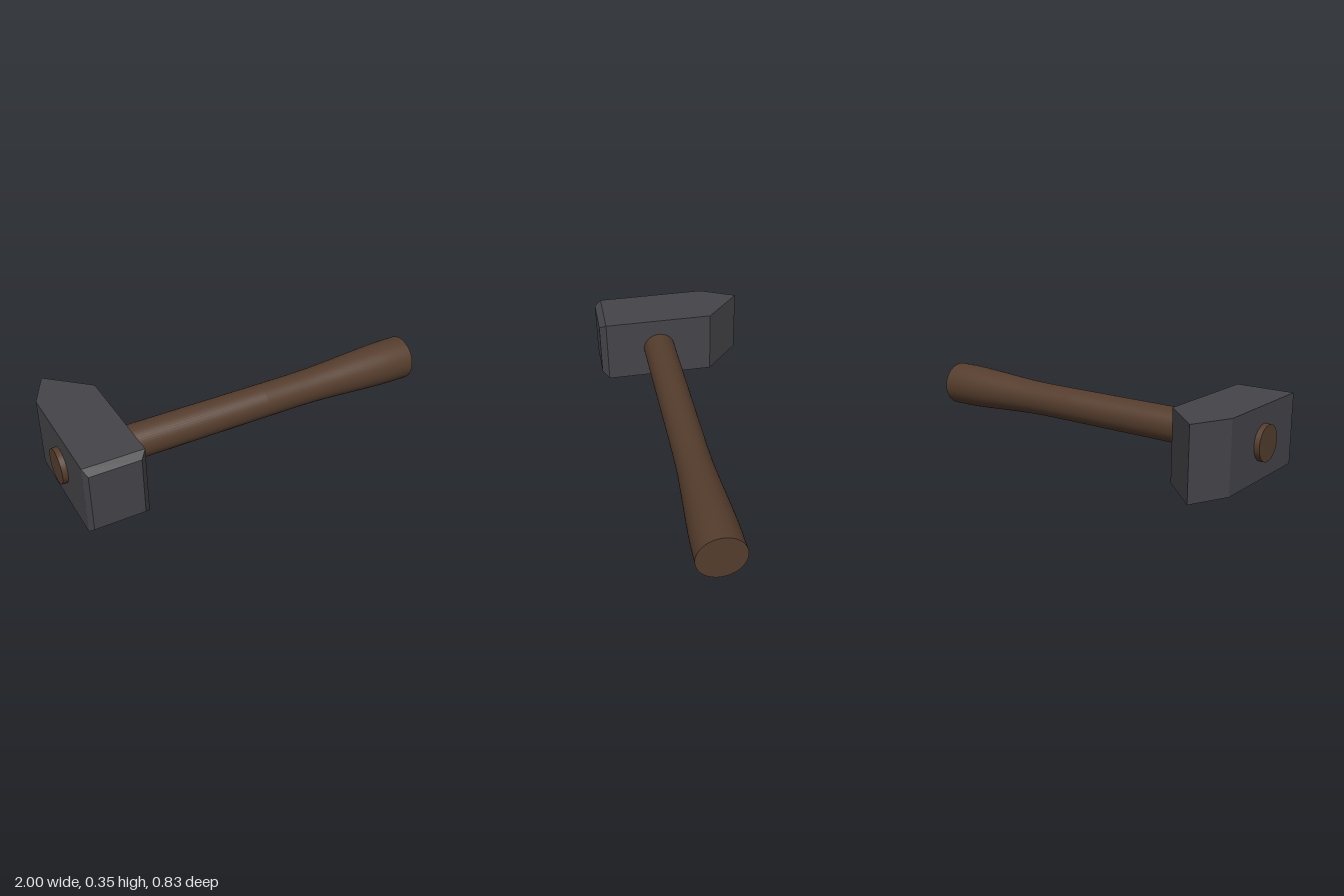
import * as THREE from 'three';
import { ConvexGeometry } from 'three/addons/geometries/ConvexGeometry.js';

export function createModel() {
  const model = new THREE.Group();
  const wood = new THREE.MeshStandardMaterial({ color: 0x553d2d });
  wood.name = 'dark wood';
  const steel = new THREE.MeshStandardMaterial({ color: 0x454449 });
  steel.name = 'dark steel';

  // Head: chamfered striking face in front, block body, off-centre wedge behind
  const corners = (x0, x1, y0, y1, z) =>
    [[x0, y0], [x1, y0], [x1, y1], [x0, y1]].map(([x, y]) => new THREE.Vector3(x, y, z));
  const headGeometry = new ConvexGeometry([
    ...corners(-0.957, -0.707, 0.032, 0.328, 0.413),
    ...corners(-0.973, -0.674, 0, 0.354, 0.377),
    ...corners(-0.973, -0.674, 0, 0.354, -0.22),
    new THREE.Vector3(-0.88, 0, -0.413),
    new THREE.Vector3(-0.88, 0.354, -0.413),
  ]);
  const head = new THREE.Mesh(headGeometry, steel);
  head.name = 'hammerHead';
  model.add(head);

  // Handle: straight shaft that flares into the grip, turned around the x axis
  const handle = new THREE.Group();
  handle.name = 'handle';
  handle.position.set(0, 0.178, 0.079);
  handle.rotation.z = -Math.PI / 2;
  const profile = [
    [0.088, -1], [0.088, 0.1], [0.0885, 0.3], [0.091, 0.42], [0.099, 0.56],
    [0.108, 0.7], [0.115, 0.82], [0.1175, 0.9], [0.118, 1],
  ].map(([r, y]) => new THREE.Vector2(r, y));
  const shaft = new THREE.Mesh(new THREE.LatheGeometry(profile, 48), wood);
  shaft.name = 'shaft';
  handle.add(shaft);

  // Flat ends
  for (const [name, r, y, turn] of [['gripEnd', 0.118, 1, -1], ['headEnd', 0.088, -1, 1]]) {
    const cap = new THREE.Mesh(new THREE.CircleGeometry(r, 48), wood);
    cap.name = name;
    cap.position.y = y;
    cap.rotation.x = turn * Math.PI / 2;
    handle.add(cap);
  }
  model.add(handle);
  return model;
}
